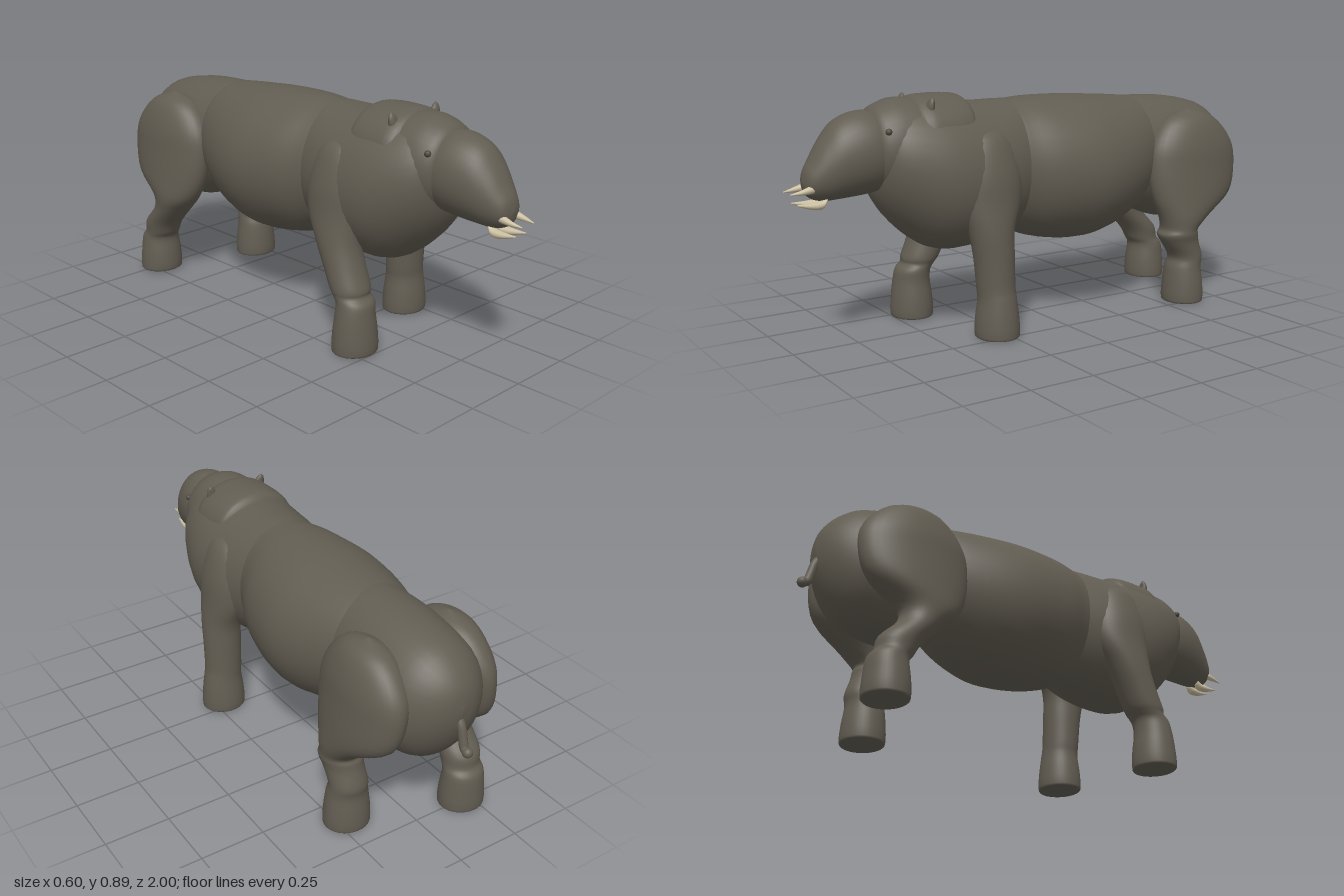
import * as THREE from 'three';

const SIDES = 36;

// Smooth closed skin through elliptical sections [x, y, z, radiusX, radius2],
// stacked along increasing z (axis 'z') or increasing y (axis 'y').
function loft(sections, axis, steps = 4) {
  const centres = new THREE.CatmullRomCurve3(sections.map(s => new THREE.Vector3(s[0], s[1], s[2])), false, 'catmullrom', 0.5);
  const radii = new THREE.CatmullRomCurve3(sections.map(s => new THREE.Vector3(s[3], s[4], 0)), false, 'catmullrom', 0.5);
  const rings = (sections.length - 1) * steps + 1;
  const pos = [], idx = [];
  for (let i = 0; i < rings; i++) {
    const c = centres.getPoint(i / (rings - 1)), r = radii.getPoint(i / (rings - 1));
    const a = Math.max(r.x, 0.002), b = Math.max(r.y, 0.002);
    for (let j = 0; j < SIDES; j++) {
      const t = j / SIDES * Math.PI * 2, co = Math.cos(t), si = Math.sin(t);
      if (axis === 'z') pos.push(c.x + a * co, c.y + b * si, c.z);
      else pos.push(c.x + a * si, Math.max(c.y, 0), c.z + b * co);
    }
  }
  for (let i = 0; i < rings - 1; i++) for (let j = 0; j < SIDES; j++) {
    const k = (j + 1) % SIDES, a = i * SIDES + j, b = i * SIDES + k;
    idx.push(a, b, a + SIDES, b, b + SIDES, a + SIDES);
  }
  // End caps
  const last = (rings - 1) * SIDES;
  for (let j = 1; j < SIDES - 1; j++) idx.push(0, j + 1, j, last, last + j, last + j + 1);
  const g = new THREE.BufferGeometry();
  g.setAttribute('position', new THREE.Float32BufferAttribute(pos, 3));
  g.setIndex(idx);
  g.computeVertexNormals();
  return g;
}

// Body section given as [z, halfWidth, bottom, top]
const trunk = rows => loft(rows.map(([z, w, b, t]) => [0, (b + t) / 2, z, w, (t - b) / 2]), 'z');

// Hoofless round foot centred at (x, z)
const foot = (x, z) => [
  [x, 0, z, 0.002, 0.002], [x, 0, z, 0.078, 0.07], [x, 0.018, z, 0.089, 0.082],
  [x, 0.08, z, 0.086, 0.079], [x, 0.145, z, 0.078, 0.071],
];

export function createModel() {
  const model = new THREE.Group();
  const hide = new THREE.MeshStandardMaterial({ color: 0x625d52 });
  hide.name = 'hide';
  const ivory = new THREE.MeshStandardMaterial({ color: 0xc9bd9f });
  ivory.name = 'ivory';
  const eyeDark = new THREE.MeshStandardMaterial({ color: 0x4d493f });
  eyeDark.name = 'eyeDark';

  const add = (name, geometry, material = hide) => {
    const m = new THREE.Mesh(geometry, material);
    m.name = name;
    model.add(m);
    return m;
  };

  // Trunk: rump, belly and chest overlap with soft creases between them
  add('rump', trunk([
    [-0.945, 0.004, 0.59, 0.61], [-0.93, 0.07, 0.51, 0.68], [-0.88, 0.14, 0.41, 0.745], [-0.8, 0.19, 0.34, 0.795],
    [-0.65, 0.21, 0.315, 0.825], [-0.5, 0.2, 0.36, 0.835], [-0.4, 0.17, 0.42, 0.83], [-0.3, 0.08, 0.52, 0.78],
  ]));
  add('belly', trunk([
    [-0.58, 0.08, 0.54, 0.78], [-0.5, 0.17, 0.42, 0.825], [-0.4, 0.225, 0.345, 0.84], [-0.27, 0.268, 0.297, 0.85],
    [-0.15, 0.28, 0.285, 0.858], [0, 0.255, 0.305, 0.86], [0.1, 0.215, 0.34, 0.855], [0.17, 0.18, 0.385, 0.845],
    [0.25, 0.08, 0.5, 0.78],
  ]));
  add('chest', trunk([
    [0, 0.1, 0.5, 0.8], [0.07, 0.175, 0.4, 0.845], [0.14, 0.205, 0.35, 0.855], [0.26, 0.235, 0.318, 0.855],
    [0.4, 0.245, 0.308, 0.865], [0.5, 0.23, 0.338, 0.87], [0.6, 0.19, 0.42, 0.86], [0.66, 0.145, 0.5, 0.82],
    [0.69, 0.08, 0.58, 0.75], [0.7, 0.004, 0.65, 0.67],
  ]));
  add('nape', trunk([
    [0.3, 0.06, 0.7, 0.82], [0.33, 0.15, 0.64, 0.873], [0.37, 0.175, 0.6, 0.888], [0.46, 0.18, 0.59, 0.89],
    [0.53, 0.17, 0.59, 0.88], [0.58, 0.1, 0.65, 0.82],
  ]));

  // Head: broad skull, then a tapering muzzle
  add('skull', trunk([
    [0.44, 0.1, 0.6, 0.82], [0.5, 0.16, 0.55, 0.872], [0.59, 0.16, 0.53, 0.882], [0.65, 0.15, 0.54, 0.866],
    [0.69, 0.125, 0.57, 0.84], [0.71, 0.07, 0.62, 0.78], [0.715, 0.004, 0.69, 0.7],
  ]));
  add('muzzle', trunk([
    [0.6, 0.1, 0.57, 0.81], [0.68, 0.124, 0.55, 0.84], [0.75, 0.122, 0.542, 0.84], [0.82, 0.105, 0.537, 0.812],
    [0.87, 0.083, 0.535, 0.755], [0.91, 0.062, 0.545, 0.69], [0.933, 0.04, 0.565, 0.65], [0.942, 0.004, 0.6, 0.61],
  ]));

  // Legs: +x pair stands straight, -x pair is mid-stride with bent joints
  const frontTop = s => [[0.185 * s, 0.5, 0.3, 0.08, 0.12], [0.165 * s, 0.61, 0.3, 0.09, 0.13],
    [0.15 * s, 0.73, 0.3, 0.065, 0.09], [0.14 * s, 0.78, 0.3, 0.004, 0.004]];
  const hindTop = s => [[0.205 * s, 0.44, -0.645, 0.095, 0.19], [0.192 * s, 0.55, -0.655, 0.098, 0.215],
    [0.183 * s, 0.65, -0.655, 0.096, 0.2], [0.175 * s, 0.745, -0.65, 0.068, 0.12], [0.17 * s, 0.785, -0.65, 0.004, 0.004]];
  add('leftFrontLeg', loft([...foot(0.21, 0.29),
    [0.205, 0.19, 0.292, 0.076, 0.071], [0.202, 0.3, 0.297, 0.077, 0.076], [0.198, 0.4, 0.305, 0.077, 0.088],
    ...frontTop(1)], 'y'));
  add('rightFrontLeg', loft([...foot(-0.21, 0.425),
    [-0.205, 0.19, 0.42, 0.075, 0.068], [-0.204, 0.215, 0.4, 0.073, 0.065], [-0.202, 0.24, 0.39, 0.078, 0.074],
    [-0.2, 0.31, 0.36, 0.078, 0.078], [-0.198, 0.4, 0.325, 0.077, 0.09],
    ...frontTop(-1)], 'y'));
  add('leftHindLeg', loft([...foot(0.21, -0.605),
    [0.212, 0.19, -0.613, 0.073, 0.068], [0.214, 0.25, -0.583, 0.073, 0.08], [0.215, 0.285, -0.57, 0.08, 0.086],
    [0.217, 0.31, -0.575, 0.079, 0.078], [0.217, 0.36, -0.6, 0.085, 0.115],
    ...hindTop(1)], 'y'));
  add('rightHindLeg', loft([...foot(-0.21, -0.745),
    [-0.212, 0.175, -0.725, 0.073, 0.068], [-0.214, 0.225, -0.705, 0.077, 0.077], [-0.216, 0.3, -0.635, 0.079, 0.08],
    [-0.217, 0.36, -0.61, 0.085, 0.115],
    ...hindTop(-1)], 'y'));

  // Ears, eyes and tusks, mirrored
  for (const s of [1, -1]) {
    const side = s > 0 ? 'left' : 'right';
    add(side + 'Ear', loft([
      [0.1 * s, 0.82, 0.5, 0.028, 0.02], [0.109 * s, 0.853, 0.5, 0.023, 0.014],
      [0.115 * s, 0.873, 0.497, 0.014, 0.01], [0.118 * s, 0.884, 0.495, 0.003, 0.003]], 'y'));
    const eye = add(side + 'Eye', new THREE.SphereGeometry(0.012, 16, 12), eyeDark);
    eye.position.set(0.128 * s, 0.775, 0.672);
    add(side + 'UpperTusk', loft([
      [0.03 * s, 0.59, 0.885, 0.016, 0.016], [0.036 * s, 0.584, 0.925, 0.014, 0.014],
      [0.037 * s, 0.577, 0.965, 0.008, 0.008], [0.033 * s, 0.573, 1.0, 0.002, 0.002]], 'z'), ivory);
    add(side + 'LowerTusk', loft([
      [0.025 * s, 0.545, 0.865, 0.012, 0.01], [0.025 * s, 0.527, 0.882, 0.018, 0.015],
      [0.027 * s, 0.525, 0.92, 0.014, 0.012], [0.028 * s, 0.533, 0.975, 0.002, 0.002]], 'z'), ivory);
  }

  // Short hanging tail with a rounded tip
  const path = new THREE.CatmullRomCurve3([
    [-0.91, 0.58], [-0.94, 0.54], [-0.955, 0.49], [-0.965, 0.462], [-0.98, 0.455],
  ].map(([z, y]) => new THREE.Vector3(0, y, z)));
  add('tail', new THREE.TubeGeometry(path, 20, 0.016, 12));
  const tip = add('tailTip', new THREE.SphereGeometry(0.019, 16, 12));
  tip.position.set(0, 0.455, -0.981);

  return model;
}
